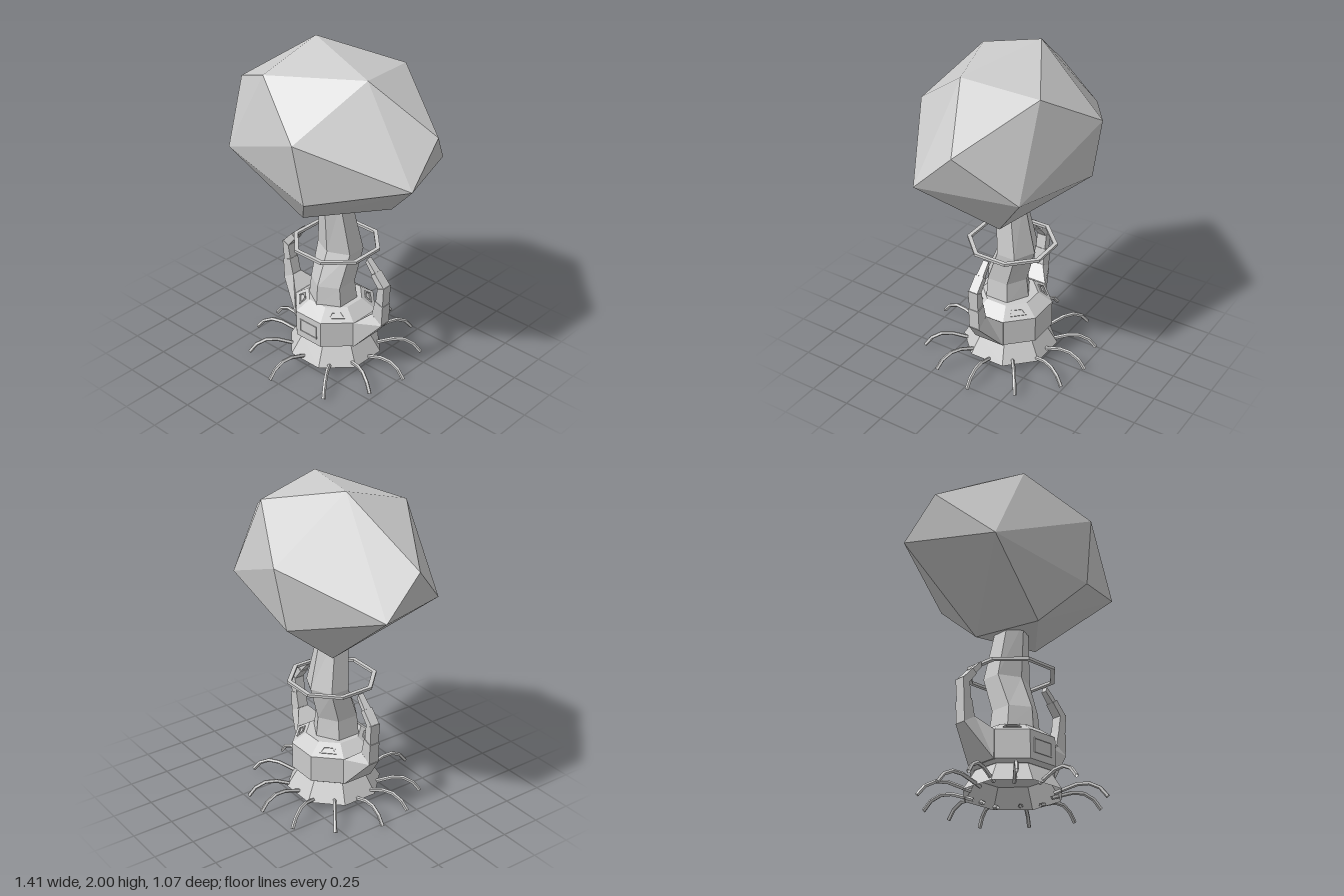
import * as THREE from 'three';
import { ConvexGeometry } from 'three/addons/geometries/ConvexGeometry.js';

const material = new THREE.MeshStandardMaterial({ color: 0xcccccc, flatShading: true });
const openMaterial = new THREE.MeshStandardMaterial({ color: 0xcccccc, flatShading: true, side: THREE.DoubleSide });

function addPart(parent, name, geometry, mat = material) {
  const flat = geometry.index ? geometry.toNonIndexed() : geometry;
  flat.computeVertexNormals();
  const mesh = new THREE.Mesh(flat, mat);
  mesh.name = name;
  parent.add(mesh);
  return mesh;
}

// Octagonal turned shape; profile is [distance to flat side, y]
function octagon(profile) {
  const k = 1 / Math.cos(Math.PI / 8);
  return new THREE.LatheGeometry(profile.map(([r, y]) => new THREE.Vector2(r * k, y)), 8, Math.PI / 8);
}

// Skin a row of equal-sized cross-sections and cap both ends
function loft(sections) {
  const n = sections[0].length;
  const last = (sections.length - 1) * n;
  const index = [];
  for (let i = 0; i < sections.length - 1; i++) {
    for (let j = 0; j < n; j++) {
      const a = i * n + j, b = i * n + (j + 1) % n;
      index.push(a, b, b + n, a, b + n, a + n);
    }
  }
  for (let j = 1; j < n - 1; j++) {
    index.push(0, j + 1, j, last, last + j, last + j + 1);
  }
  const geometry = new THREE.BufferGeometry();
  geometry.setAttribute('position', new THREE.Float32BufferAttribute(sections.flat(2), 3));
  geometry.setIndex(index);
  return geometry;
}

// Thin raised frame: a trapezoid with a smaller trapezoid cut out
function frame(bottom, top, height, border, depth) {
  const corners = (inset) => {
    const b = bottom - inset, t = top - inset, h = height / 2 - inset;
    return [[-b, -h], [b, -h], [t, h], [-t, h]].map(([x, y]) => new THREE.Vector2(x, y));
  };
  const shape = new THREE.Shape(corners(0));
  shape.holes.push(new THREE.Path(corners(border).reverse()));
  return new THREE.ExtrudeGeometry(shape, { depth, bevelEnabled: false });
}

// One jointed arm reaching out from the pot on the +x side
function createArm() {
  const arm = new THREE.Group();
  const section = ([ox, oy, ix, iy, hz]) => [[ix, iy, hz], [ox, oy, hz], [ox, oy, -hz], [ix, iy, -hz]];
  const segments = [
    ['armBase', [0.225, 0.18, 0.225, 0.35, 0.1], [0.24, 0.18, 0.24, 0.35, 0.1], [0.4, 0.37, 0.32, 0.42, 0.034]],
    ['lowerArm', [0.397, 0.37, 0.322, 0.42, 0.034], [0.403, 0.5, 0.345, 0.52, 0.034]],
    ['middleArm', [0.4, 0.5, 0.347, 0.52, 0.03], [0.408, 0.63, 0.36, 0.61, 0.033]],
    ['upperArm', [0.404, 0.63, 0.362, 0.61, 0.029], [0.335, 0.705, 0.305, 0.68, 0.029]],
    ['hand', [0.332, 0.703, 0.308, 0.682, 0.022], [0.265, 0.77, 0.255, 0.74, 0.018]],
  ];
  for (const [name, ...rows] of segments) addPart(arm, name, loft(rows.map(section)));
  return arm;
}

export function createModel() {
  const model = new THREE.Group();
  model.name = 'pottedTree';

  // Faceted crown; the upper points come in pairs turned half way round
  const pairs = [
    [-0.23, 1.88, 0.33], [-0.68, 1.66, 0.068], [0.15, 1.64, 0.503],
    [0.703, 1.43, 0.167], [-0.49, 1.37, 0.365], [0.17, 1.26, 0.44],
  ];
  const crown = pairs.flatMap(([x, y, z]) => [[x, y, z], [-x, y, -z]]);
  crown.push([-0.21, 2, -0.07], [0.33, 1.94, 0.105], [0.32, 1.06, -0.13], [-0.03, 1.025, 0.24], [-0.17, 1, -0.13]);
  addPart(model, 'crown', new ConvexGeometry(crown.map((p) => new THREE.Vector3(...p))));

  // Bent six-sided trunk: y, centre z, half width, half depth
  const rings = [[0.39, 0.018, 0.13, 0.148], [0.53, 0.02, 0.115, 0.135], [0.735, -0.047, 0.128, 0.12], [1.08, 0, 0.082, 0.092]];
  addPart(model, 'trunk', loft(rings.map(([y, cz, hx, hz]) =>
    Array.from({ length: 6 }, (_, i) => {
      const a = (i * Math.PI) / 3;
      return [(Math.sin(a) * hx) / Math.sin(Math.PI / 3), y, cz + Math.cos(a) * hz];
    }))));

  // Pot and its open flared skirt
  addPart(model, 'pot', octagon([[0, 0.165], [0.21, 0.165], [0.237, 0.183], [0.237, 0.35], [0.157, 0.41], [0, 0.41]]));
  addPart(model, 'skirt', octagon([[0.27, 0.05], [0.205, 0.166]]), openMaterial);

  // Front panel frame
  addPart(model, 'frontPanel', frame(0.068, 0.068, 0.085, 0.006, 0.006)).position.set(0, 0.267, 0.236);

  // Four small frames on the diagonal slopes of the pot
  for (let i = 0; i < 4; i++) {
    const holder = new THREE.Group();
    holder.name = 'slopeFrame';
    holder.rotation.y = Math.PI / 4 + (i * Math.PI) / 2;
    const vent = addPart(holder, 'vent', frame(0.05, 0.035, 0.046, 0.01, 0.008));
    vent.position.set(0, 0.379, 0.196);
    vent.rotation.x = -Math.atan2(0.08, 0.06);
    model.add(holder);
  }

  // Arms and the hoop they hold around the trunk
  for (const side of ['left', 'right']) {
    const arm = createArm();
    arm.name = side + 'Arm';
    if (side === 'right') arm.rotation.y = Math.PI;
    model.add(arm);
  }
  const hoop = octagon([[0.226, 0.762], [0.25, 0.762], [0.25, 0.778], [0.226, 0.778], [0.226, 0.762]]);
  addPart(model, 'hoop', hoop).position.z = -0.012;

  // Roots arching out from under the skirt, by compass angle in degrees
  const angles = [-5, 35, 65, 93, 125, 157, 180, 207, 235, 267, 290, 318];
  const path = [[0.23, 0.06], [0.3, 0.085], [0.39, 0.11], [0.47, 0.09], [0.528, 0.024]];
  const curve = new THREE.CatmullRomCurve3(path.map(([r, y]) => new THREE.Vector3(0, y, r)));
  angles.forEach((angle, i) => {
    const root = addPart(model, 'root', new THREE.TubeGeometry(curve, 5, 0.012, 5), openMaterial);
    root.rotation.y = THREE.MathUtils.degToRad(angle);
    root.position.y = -0.012 * (i % 2);
  });
  return model;
}
